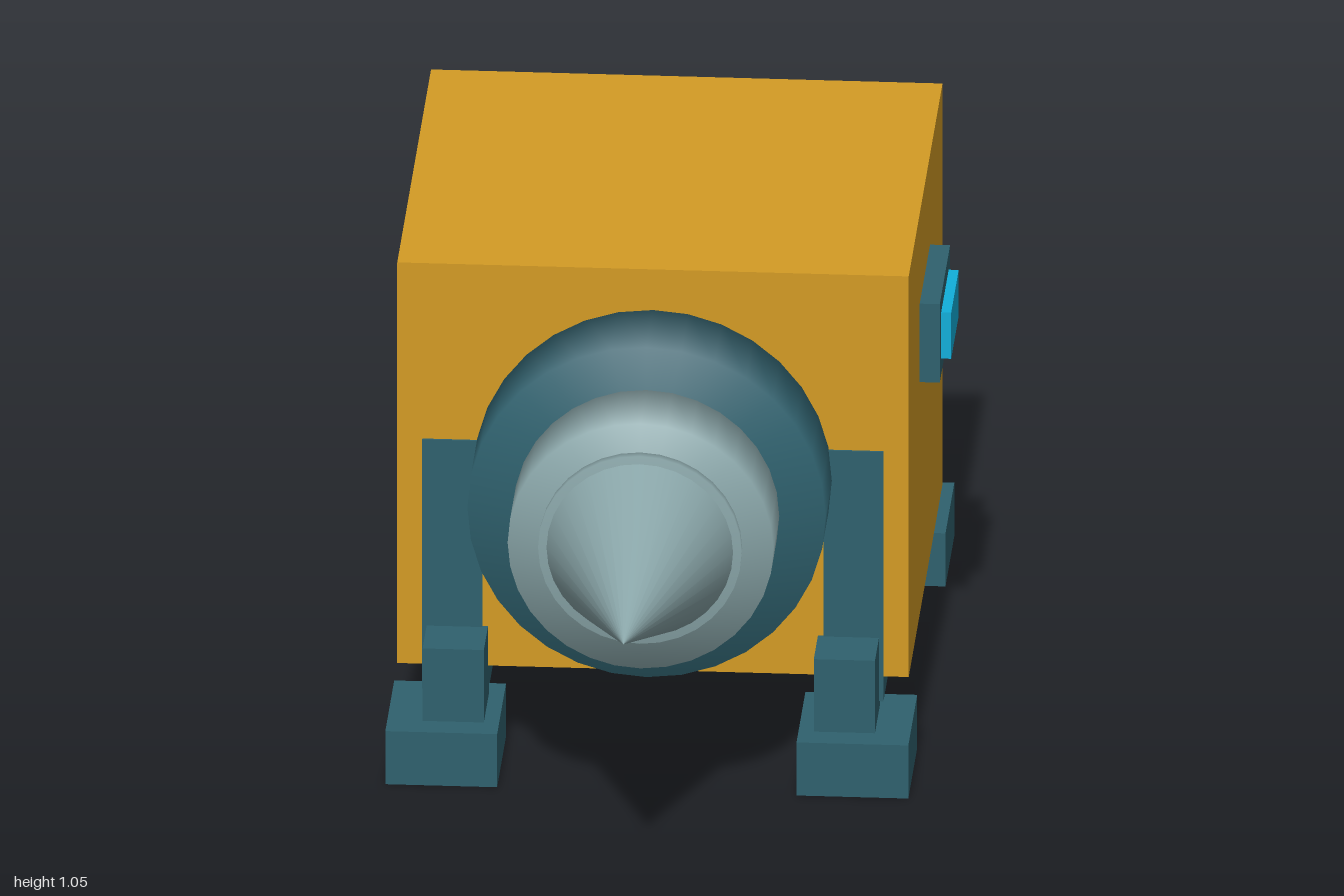
import * as THREE from 'three';

const paint = (name, color) => {
  const m = new THREE.MeshStandardMaterial({ color });
  m.name = name;
  return m;
};

export function createModel() {
  const yellow = paint('housing yellow', 0xd39b24);
  const teal = paint('frame teal', 0x2f616e);
  const steel = paint('drill steel', 0x89a5a8);
  const cyan = paint('glass cyan', 0x11aeda);

  const model = new THREE.Group();
  model.name = 'drillMachine';
  const cx = -0.025; // centre line of the machine
  const axisY = 0.61; // height of the drill axis

  const add = (name, geometry, material, parent = model) => {
    const mesh = new THREE.Mesh(geometry, material);
    mesh.name = name;
    parent.add(mesh);
    return mesh;
  };

  // Box given by its [min, max] range on each axis
  const box = (name, [x0, x1], [y0, y1], [z0, z1], material, parent) => {
    const mesh = add(name, new THREE.BoxGeometry(x1 - x0, y1 - y0, z1 - z0), material, parent);
    mesh.position.set((x0 + x1) / 2, (y0 + y1) / 2, (z0 + z1) / 2);
    return mesh;
  };

  // Softly shaded drum along the drill axis
  const drum = (name, r, z0, z1, material) => {
    const profile = [[0, z0], [r, z0], [r, z1], [0, z1]].map(([x, y]) => new THREE.Vector2(x, y));
    const mesh = add(name, new THREE.LatheGeometry(profile, 32).rotateX(Math.PI / 2), material);
    mesh.position.set(cx, axisY, 0);
  };

  box('housing', [-0.535, 0.485], [0.187, 1.055], [-0.825, 0.146], yellow);

  // Drill head: three stepped drums and a pointed tip
  drum('drillCollar', 0.357, 0.12, 0.335, teal);
  drum('drillChuck', 0.265, 0.3, 0.505, steel);
  drum('drillRing', 0.203, 0.48, 0.525, steel);
  const tip = add('drillTip', new THREE.ConeGeometry(0.188, 0.48, 32).rotateX(Math.PI / 2), steel);
  tip.position.set(cx, axisY, 0.76);

  // Side window on the left
  box('windowFrame', [0.48, 0.525], [0.69, 0.86], [-0.467, -0.17], teal);
  box('windowGlass', [0.52, 0.545], [0.725, 0.825], [-0.425, -0.21], cyan);

  // Undercarriage, mirrored about the centre line
  for (const side of [1, -1]) {
    const frame = new THREE.Group();
    frame.name = side > 0 ? 'leftFrame' : 'rightFrame';
    model.add(frame);
    const across = (centre, width) => {
      const x = cx + side * centre;
      return [x - width / 2, x + width / 2];
    };

    box('skidBeam', across(0.39, 0.11), [0.09, 0.192], [-0.87, 0.14], teal, frame);
    box('frontPost', across(0.4, 0.12), [0.135, 0.675], [0.03, 0.151], teal, frame);

    // Short sloping brace between front foot and beam
    const brace = box('brace', across(0.39, 0.06), [0.075, 0.125], [-0.02, 0.12], teal, frame);
    brace.rotation.x = 0.37;

    for (const [end, z] of [['front', 0.195], ['rear', -0.8725]]) {
      box(end + 'Foot', across(0.41, 0.223), [0, 0.115], [z - 0.1275, z + 0.1275], teal, frame);
      box(end + 'Leg', across(0.39, 0.122), [0.11, 0.272], [z - 0.071, z + 0.071], teal, frame);
    }
  }

  return model;
}
